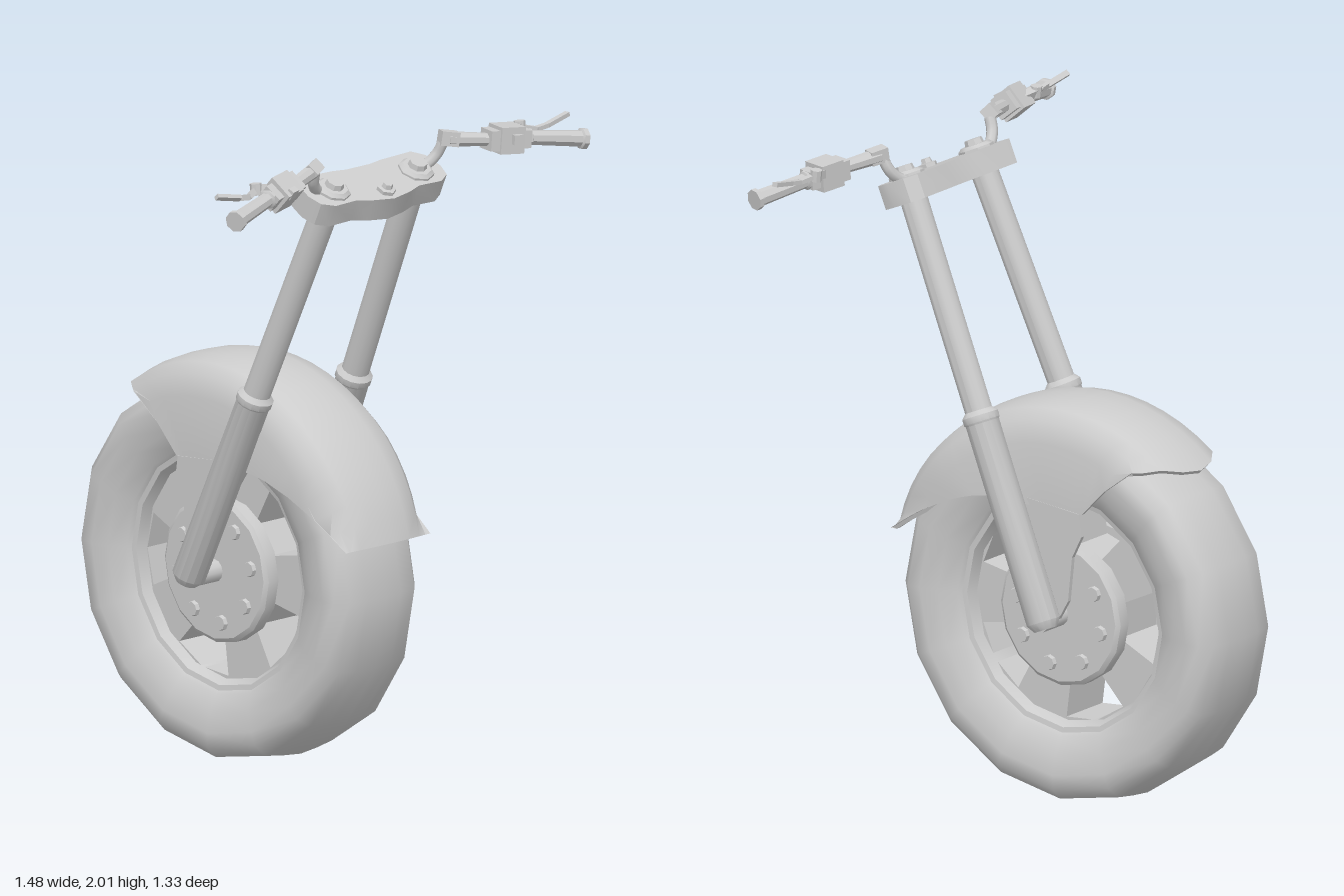
import * as THREE from 'three';
import { toCreasedNormals } from 'three/addons/utils/BufferGeometryUtils.js';

const grey = new THREE.MeshStandardMaterial({ color: 0xcccccc, side: THREE.DoubleSide });
const V = (x, y, z) => new THREE.Vector3(x, y, z);
const UP = V(0, 1, 0);
const HUB = V(0, 0.597, -0.07);

function add(parent, name, geo, pos) {
  const m = new THREE.Mesh(geo, grey);
  m.name = name;
  if (pos) m.position.copy(pos);
  parent.add(m);
  return m;
}

// Turned part whose axis starts at a and points towards b
function turned(parent, name, profile, a, b, sides) {
  const pts = profile.map(p => new THREE.Vector2(p[0], p[1]));
  const m = add(parent, name, toCreasedNormals(new THREE.LatheGeometry(pts, sides), 0.6), a);
  m.quaternion.setFromUnitVectors(UP, b.clone().sub(a).normalize());
  return m;
}

function rod(parent, name, a, b, r0, r1, sides) {
  const l = a.distanceTo(b);
  return turned(parent, name, [[0, 0], [r0, 0], [r1, l], [0, l]], a, b, sides);
}

function box(parent, name, a, b, h, d) {
  const m = add(parent, name, new THREE.BoxGeometry(a.distanceTo(b), h, d), a.clone().lerp(b, 0.5));
  m.quaternion.setFromUnitVectors(V(1, 0, 0), b.clone().sub(a).normalize());
  return m;
}

function tube(parent, name, pts, r, segs = 12) {
  return add(parent, name, new THREE.TubeGeometry(new THREE.CatmullRomCurve3(pts), segs, r, 8));
}

// Piecewise linear lookup in [key, value] pairs
function lookup(table, k) {
  let i = 1;
  while (i < table.length - 1 && table[i][0] < k) i++;
  const [a, b] = [table[i - 1], table[i]];
  return THREE.MathUtils.lerp(a[1], b[1], THREE.MathUtils.clamp((k - a[0]) / (b[0] - a[0]), 0, 1));
}

function buildWheel() {
  const g = new THREE.Group();
  g.name = 'wheel';
  g.position.copy(HUB);
  const O = V(0, 0, 0), X = V(1, 0, 0);
  const half = [[0.37, -0.115], [0.385, -0.135], [0.44, -0.162], [0.5, -0.172], [0.545, -0.17], [0.58, -0.135], [0.59, -0.07]];
  const mirrored = half.slice().reverse().map(p => [p[0], -p[1]]);
  const tyre = turned(g, 'tyre', [...half, [0.597, 0], ...mirrored], O, X, 16);
  tyre.geometry = new THREE.LatheGeometry([...half, [0.597, 0], ...mirrored].map(p => new THREE.Vector2(...p)), 16);
  turned(g, 'rim', [[0.345, -0.09], [0.36, -0.12], [0.385, -0.125], [0.385, 0.125], [0.36, 0.12], [0.345, 0.09], [0.345, -0.09]], O, X, 16);

  // Spoke plate with five openings
  const plate = new THREE.Shape().absarc(0, 0, 0.36, 0, Math.PI * 2);
  for (let i = 0; i < 5; i++) {
    const c = Math.PI + i * Math.PI * 0.4;
    const corner = (r, da) => new THREE.Vector2(r * Math.cos(c + da), r * Math.sin(c + da));
    plate.holes.push(new THREE.Path([corner(0.2, -0.27), corner(0.335, -0.34), corner(0.342, 0), corner(0.335, 0.34), corner(0.2, 0.27)]));
  }
  const geo = new THREE.ExtrudeGeometry(plate, { depth: 0.18, bevelEnabled: false, curveSegments: 8 });
  geo.translate(0, 0, -0.09);
  add(g, 'spokes', geo).rotation.y = -Math.PI / 2;

  rod(g, 'axle', V(-0.24, 0, 0), V(0.24, 0, 0), 0.035, 0.035, 12);
  for (const s of [-1, 1]) {
    turned(g, 'hubDisc', [[0, 0], [0.225, 0], [0.225, 0.04], [0.212, 0.05], [0, 0.05]], V(s * 0.09, 0, 0), V(s, 0, 0), 16);
    for (let i = 0; i < 8; i++) {
      const a = 0.58 + i * Math.PI / 4, y = 0.16 * Math.sin(a), z = -0.16 * Math.cos(a);
      rod(g, 'hubBolt', V(s * 0.138, y, z), V(s * 0.153, y, z), 0.025, 0.022, 8);
    }
  }
  return g;
}

// Curved shell over the wheel; its lower edge and width follow the angle
function buildFender() {
  const g = new THREE.Group();
  g.name = 'fender';
  const edge = [[15.6, 0.63], [23, 0.57], [33, 0.51], [44, 0.46], [60, 0.4], [75, 0.35], [108, 0.34], [114, 0.45], [121, 0.59], [131, 0.63]];
  const width = [[15, 0.9], [30, 0.98], [45, 1.02], [80, 0.96], [130, 0.94]];
  const right = [[0.075, 0.651], [0.135, 0.637], [0.172, 0.605], [0.192, 0.54], [0.195, 0.38]];
  const section = [...right.slice().reverse().map(p => [-p[0], p[1]]), [0, 0.655], ...right];
  const n = section.length, cols = 18;
  const pos = [], idx = [];
  for (let i = 0; i <= cols; i++) {
    for (const inner of [0, 1]) {
      for (const [x, r] of section) {
        const s = x / 0.195;
        const deg = 15.6 + (115.4 - 10 * s * s) * i / cols;
        const low = lookup(edge, deg);
        const isRim = r === 0.38;
        const rr = (isRim ? low : Math.max(r, low)) - (inner && !isRim ? 0.014 : 0);
        const xx = x * lookup(width, deg) - inner * 0.012 * s;
        const a = THREE.MathUtils.degToRad(deg);
        pos.push(xx, HUB.y + rr * Math.sin(a), HUB.z + rr * Math.cos(a));
      }
    }
  }
  const id = (i, inner, k) => i * 2 * n + inner * n + k;
  const quad = (a, b, c, d) => idx.push(a, b, c, a, c, d);
  for (let k = 0; k < n - 1; k++) {
    for (let i = 0; i < cols; i++) {
      quad(id(i, 0, k), id(i, 0, k + 1), id(i + 1, 0, k + 1), id(i + 1, 0, k));
      quad(id(i, 1, k), id(i + 1, 1, k), id(i + 1, 1, k + 1), id(i, 1, k + 1));
    }
    quad(id(0, 0, k), id(0, 1, k), id(0, 1, k + 1), id(0, 0, k + 1));
    quad(id(cols, 0, k), id(cols, 0, k + 1), id(cols, 1, k + 1), id(cols, 1, k));
  }
  for (let i = 0; i < cols; i++) {
    quad(id(i, 0, 0), id(i + 1, 0, 0), id(i + 1, 1, 0), id(i, 1, 0));
    quad(id(i, 0, n - 1), id(i, 1, n - 1), id(i + 1, 1, n - 1), id(i + 1, 0, n - 1));
  }
  const geo = new THREE.BufferGeometry();
  geo.setAttribute('position', new THREE.Float32BufferAttribute(pos, 3));
  geo.setIndex(idx);
  add(g, 'fenderShell', toCreasedNormals(geo, 0.7));

  // Side stays from the shell down towards the axle, drawn as (-z, y)
  const stay = new THREE.Shape([[-0.13, 0.97], [0.18, 0.94], [0.19, 0.87], [0.155, 0.8], [0.14, 0.66], [0.1, 0.59], [0.06, 0.6], [-0.07, 0.88]]
    .map(p => new THREE.Vector2(...p)));
  for (const s of [-1, 1]) {
    const m = add(g, 'fenderStay', new THREE.ExtrudeGeometry(stay, { depth: 0.014, bevelEnabled: false }), V(s * 0.181 - 0.007, 0, 0));
    m.rotation.y = Math.PI / 2;
  }
  return g;
}

function buildForkAndClamp() {
  const g = new THREE.Group();
  g.name = 'fork';
  for (const s of [-1, 1]) {
    const a = V(s * 0.235, 0.575, -0.092), b = V(s * 0.175, 1.86, 0.467);
    turned(g, 'forkLeg', [[0, 0], [0.036, 0], [0.053, 0.025], [0.053, 0.65], [0.057, 0.656], [0.057, 0.675], [0.043, 0.69], [0.043, 1.4], [0, 1.4]], a, b, 14);
    turned(g, 'forkCap', [[0, 0], [0.056, 0], [0.056, 0.018], [0.045, 0.028], [0.03, 0.028], [0.027, 0.045], [0, 0.045]],
      V(s * 0.174, 1.87, 0.471), V(s * 0.172, 1.962, 0.511), 8);
  }
  // Clamp plate, tilted to stand square to the legs
  const side = [[0.05, 0.078], [0.1, 0.085], [0.23, 0.09], [0.265, 0.06], [0.275, 0], [0.262, -0.045], [0.22, -0.068], [0.13, -0.065], [0.075, -0.082]];
  const outline = [...side, [0, -0.095], ...side.slice().reverse().map(p => [-p[0], p[1]])];
  const geo = new THREE.ExtrudeGeometry(new THREE.Shape(outline.map(p => new THREE.Vector2(...p))), { depth: 0.075, bevelEnabled: false });
  geo.translate(0, 0, -0.0375);
  geo.rotateX(-Math.PI / 2);
  add(g, 'clamp', toCreasedNormals(geo, 0.6), V(0, 1.845, 0.462)).rotation.x = 0.41;
  turned(g, 'stemNut', [[0, 0], [0.03, 0], [0.03, 0.014], [0.018, 0.016], [0.015, 0.03], [0, 0.03]], V(0, 1.856, 0.525), V(0, 1.948, 0.565), 6);
  return g;
}

function buildHandlebar(s) {
  const g = new THREE.Group();
  g.name = s > 0 ? 'leftHandlebar' : 'rightHandlebar';
  const P = (x, y, z) => V(s * x, y, z);
  // Riser and bar
  tube(g, 'riser', [P(0.19, 1.875, 0.45), P(0.23, 1.89, 0.465), P(0.258, 1.92, 0.48), P(0.268, 1.955, 0.495)], 0.018);
  box(g, 'barMount', P(0.258, 1.972, 0.492), P(0.31, 1.962, 0.515), 0.044, 0.04);
  rod(g, 'bar', P(0.28, 1.965, 0.502), P(0.42, 1.948, 0.552), 0.024, 0.02, 8);
  // Switch housing
  box(g, 'switchInner', P(0.4, 1.95, 0.545), P(0.435, 1.947, 0.553), 0.062, 0.066);
  box(g, 'switchHousing', P(0.43, 1.948, 0.552), P(0.51, 1.941, 0.57), 0.082, 0.08);
  box(g, 'switchButton', P(0.455, 1.95, 0.605), P(0.485, 1.948, 0.612), 0.03, 0.02);
  box(g, 'switchOuter', P(0.51, 1.941, 0.57), P(0.54, 1.938, 0.578), 0.055, 0.058);
  // Grip with end flanges
  const l = 0.205;
  turned(g, 'grip', [[0, 0], [0.03, 0], [0.03, 0.012], [0.023, 0.016], [0.026, l - 0.02], [0.033, l - 0.016], [0.033, l], [0, l]],
    P(0.535, 1.938, 0.577), P(0.732, 1.91, 0.632), 8);
  // Lever
  const lever = [P(0.49, 1.955, 0.545), P(0.55, 1.962, 0.535), P(0.6, 1.95, 0.556), P(0.64, 1.955, 0.56), P(0.732, 1.973, 0.553)];
  for (let i = 1; i < lever.length; i++) box(g, 'lever', lever[i - 1], lever[i], i < 2 ? 0.026 : 0.013, i < 2 ? 0.026 : 0.018);
  rod(g, 'leverPivot', P(0.55, 1.945, 0.537), P(0.55, 1.98, 0.533), 0.018, 0.018, 8);
  return g;
}

export function createModel() {
  const model = new THREE.Group();
  model.name = 'motorcycleFrontEnd';
  model.add(buildWheel(), buildFender(), buildForkAndClamp(), buildHandlebar(1), buildHandlebar(-1));
  return model;
}
